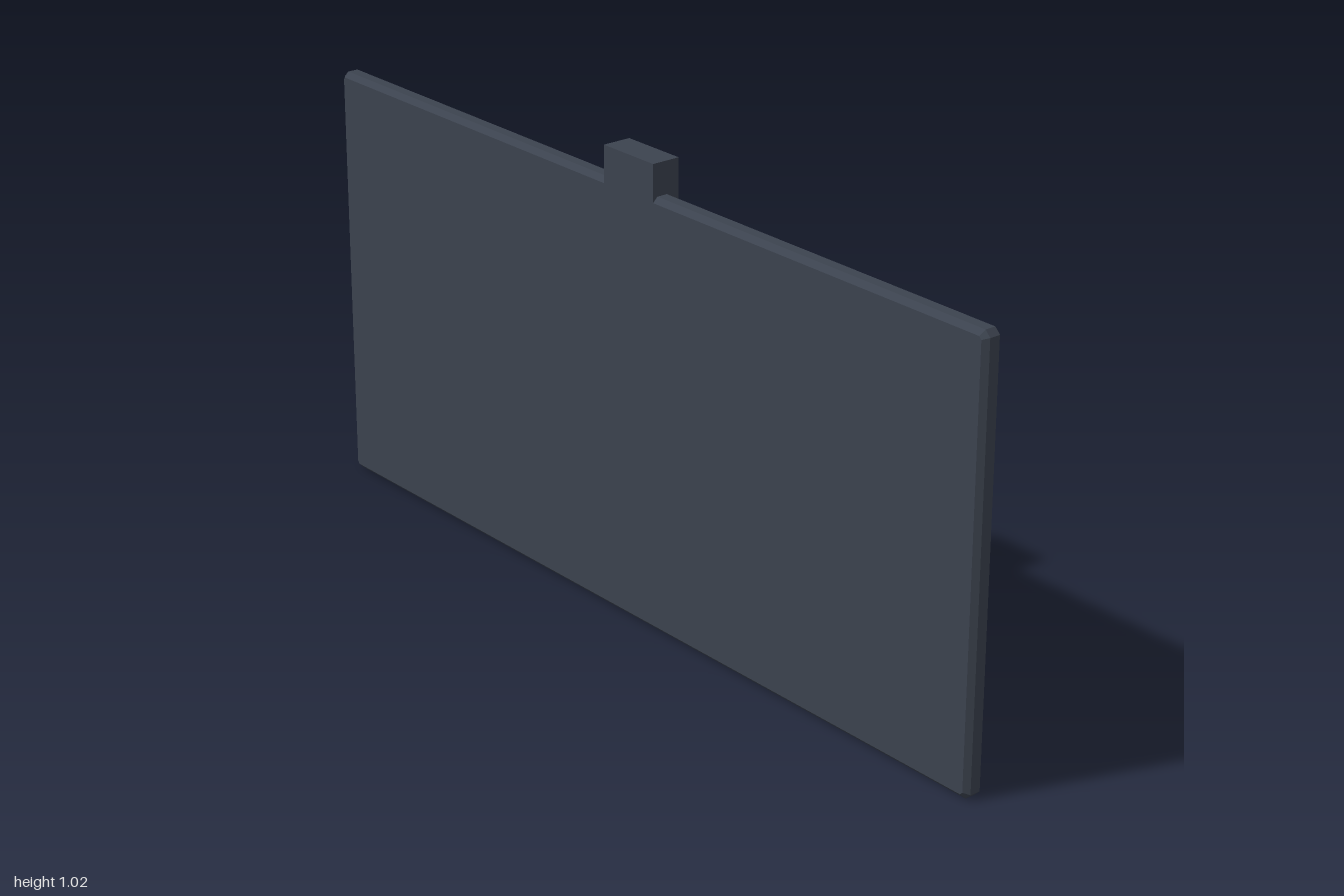
import * as THREE from 'three';

const mat = (name, color) => {
  const m = new THREE.MeshStandardMaterial({ color });
  m.name = name;
  m.flatShading = true;
  return m;
};

// Sweep a regular polygon along a path of [x, y] points, with mitred joints and capped ends
function sweep(path, radius, sides) {
  const n = path.length;
  const pos = [];
  const index = [];
  path.forEach(([x, y], i) => {
    const a = path[Math.max(i - 1, 0)];
    const b = path[Math.min(i + 1, n - 1)];
    const t = new THREE.Vector2(b[0] - a[0], b[1] - a[1]).normalize();
    for (let k = 0; k < sides; k++) {
      const ang = (k / sides) * Math.PI * 2;
      const side = Math.cos(ang) * radius;
      pos.push(x - t.y * side, y + t.x * side, Math.sin(ang) * radius);
    }
  });
  for (let i = 0; i < n - 1; i++) {
    for (let k = 0; k < sides; k++) {
      const a = i * sides + k;
      const b = i * sides + ((k + 1) % sides);
      index.push(a, b, a + sides, b, b + sides, a + sides);
    }
  }
  const last = (n - 1) * sides;
  for (let k = 1; k < sides - 1; k++) {
    index.push(0, k + 1, k, last, last + k, last + k + 1);
  }
  const indexed = new THREE.BufferGeometry();
  indexed.setAttribute('position', new THREE.Float32BufferAttribute(pos, 3));
  indexed.setIndex(index);
  const g = indexed.toNonIndexed();
  g.computeVertexNormals();
  return g;
}

export function createModel() {
  const model = new THREE.Group();
  const slate = mat('slate', 0x3c434f);
  const navy = mat('navy', 0x2a3f5a);
  const teal = mat('teal', 0x38d6d6);
  const blue = mat('blue', 0x4a78dc);
  const orange = mat('orange', 0xdc783c);
  const yellow = mat('yellow', 0xd8ae3e);
  const pink = mat('pink', 0xc83a8c);

  const add = (name, geometry, material, x = 0, y = 0, z = 0) => {
    const mesh = new THREE.Mesh(geometry, material);
    mesh.name = name;
    mesh.position.set(x, y, z);
    model.add(mesh);
  };
  const box = (name, material, x0, x1, y0, y1, z0, z1) =>
    add(name, new THREE.BoxGeometry(x1 - x0, y1 - y0, z1 - z0), material,
      (x0 + x1) / 2, (y0 + y1) / 2, (z0 + z1) / 2);

  // Bevelled board with slightly clipped corners
  const bevel = 0.011;
  const clip = 0.006;
  const w = 1 - bevel;
  const top = 0.95 - bevel;
  const board = new THREE.Shape([
    [-w + clip, bevel], [w - clip, bevel], [w, bevel + clip], [w, top - clip],
    [w - clip, top], [-w + clip, top], [-w, top - clip], [-w, bevel + clip],
  ].map(([x, y]) => new THREE.Vector2(x, y)));
  add('board', new THREE.ExtrudeGeometry(board, {
    depth: 0.046 - 2 * bevel, bevelEnabled: true,
    bevelSize: bevel, bevelThickness: bevel, bevelSegments: 1,
  }), slate, 0, 0, 0.004 + bevel);

  // Hanger block, inset panel and corner clips
  box('hanger', slate, -0.077, 0.077, 0.925, 1.02, -0.015, 0.05);
  box('panel', navy, -0.95, 0.95, 0.056, 0.897, -0.003, 0.006);
  for (const s of [-1, 1]) {
    for (const y of [0.08, 0.877]) {
      const x = s * 0.935;
      box('cornerClip', slate, x - 0.018, x + 0.018, y - 0.018, y + 0.018, -0.011, 0.004);
    }
  }

  // Three waves floating behind the panel
  const artZ = -0.03;
  const waves = [
    ['upperWave', teal, 0.384, 0.05, 0],
    ['middleWave', blue, 0.25, 0.052, 1.2],
    ['lowerWave', teal, 0.138, 0.053, 2.6],
  ];
  for (const [name, material, y, amp, phase] of waves) {
    const path = [];
    for (let i = 0; i <= 12; i++) {
      path.push([-0.82 + (1.64 * i) / 12, y + amp * Math.sin(phase - ((12 - i) * Math.PI) / 3)]);
    }
    add(name, sweep(path, 0.02, 5), material, 0, 0, artZ);
  }

  // Half sun with five rays
  const polar = (r, deg) => {
    const a = THREE.MathUtils.degToRad(deg);
    return [0.365 + r * Math.cos(a), 0.497 + r * Math.sin(a)];
  };
  const arc = [];
  for (let i = 0; i <= 6; i++) arc.push(polar(0.187, 180 - i * 30));
  add('sunArch', sweep(arc, 0.02, 5), orange, 0, 0, artZ);
  for (let i = 0; i < 5; i++) {
    const deg = 18 + i * 36;
    add('sunRay', sweep([polar(0.255, deg), polar(0.352, deg)], 0.018, 4), yellow, 0, 0, artZ);
  }

  // Stack of short bars
  [0.193, 0.161, 0.132].forEach((length, i) => {
    const y = 0.764 - i * 0.096;
    box('bar', pink, -0.425 - length, -0.425, y - 0.025, y + 0.025, -0.028, -0.003);
  });

  return model;
}
